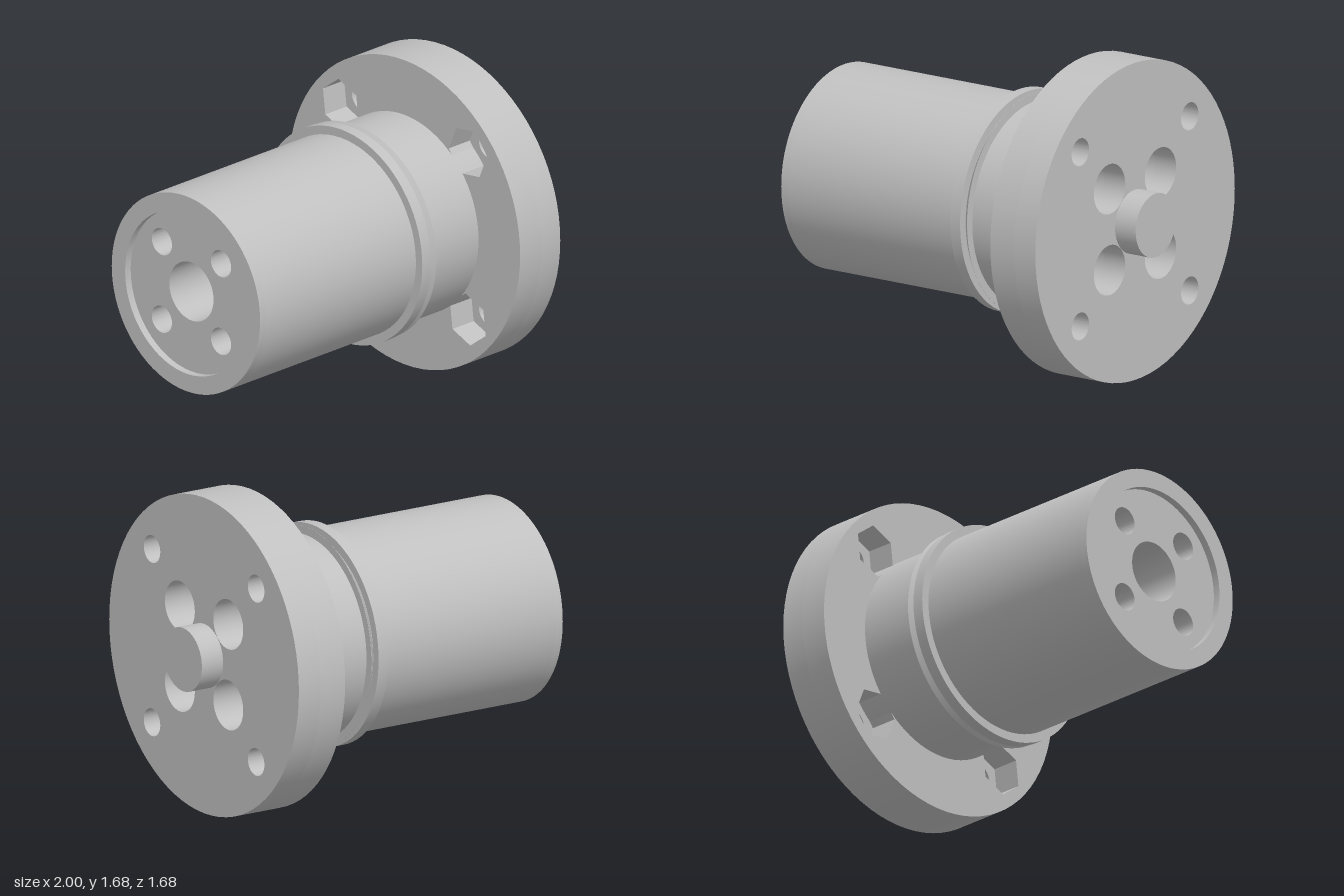
import * as THREE from 'three';
import { toCreasedNormals } from 'three/addons/utils/BufferGeometryUtils.js';

const AXIS_Y = 0.84;
const BODY_R = 0.537;
const FLANGE_R = 0.838;
const BACK = 0.577, POCKET_FLOOR = 0.73, FACE = 0.867; // flange planes along x

// Circle, usable as an outline or a hole
function circle(r, x = 0, y = 0) {
  const s = new THREE.Shape();
  s.absarc(x, y, r, 0, Math.PI * 2, false);
  return s;
}

// Four holes on a diagonal pattern; make(x, y, quarterTurn) returns each outline
function pattern(offset, make) {
  return [0, 1, 2, 3].map((k) => {
    const a = Math.PI / 4 + (k * Math.PI) / 2;
    const d = offset * Math.SQRT2;
    return make(Math.cos(a) * d, Math.sin(a) * d, (k * Math.PI) / 2);
  });
}

// Hexagonal nut pocket outline
function hexagon(r, x, y, turn) {
  const points = [];
  for (let j = 0; j < 6; j++) {
    const a = THREE.MathUtils.degToRad(23 + 60 * j) + turn;
    points.push(new THREE.Vector2(x + r * Math.cos(a), y + r * Math.sin(a)));
  }
  return new THREE.Shape(points);
}

export function createModel() {
  const model = new THREE.Group();
  model.name = 'flangedHousing';
  const grey = new THREE.MeshStandardMaterial({ color: 0xc0c0c0 });
  grey.name = 'light grey metal';

  function add(name, geometry) {
    const mesh = new THREE.Mesh(toCreasedNormals(geometry, 0.5), grey);
    mesh.name = name;
    mesh.position.y = AXIS_Y;
    model.add(mesh);
  }

  // Disc with holes, extruded along x
  function slab(name, radius, x0, x1, holes) {
    const shape = circle(radius);
    shape.holes.push(...holes);
    const g = new THREE.ExtrudeGeometry(shape, { depth: x1 - x0, bevelEnabled: false, curveSegments: 40 });
    g.rotateY(Math.PI / 2);
    g.translate(x0, 0, 0);
    add(name, g);
  }

  // Ring turned from an x / radius profile
  function turned(name, profile) {
    const g = new THREE.LatheGeometry(profile.map(([x, r]) => new THREE.Vector2(r, x)), 80);
    g.rotateZ(-Math.PI / 2);
    add(name, g);
  }

  const bolts = pattern(0.214, (x, y) => circle(0.073, x, y));
  const counterbores = pattern(0.214, (x, y) => circle(0.132, x, y));

  // Barrel with a recessed end, blind centre bore and four long holes
  slab('endRim', BODY_R, -1, -0.96, [circle(0.44)]);
  slab('barrel', BODY_R, -0.96, BACK, [circle(0.16), ...bolts]);

  // Barrel wall continued into the flange, closing the inner side of the pockets
  slab('barrelRoot', BODY_R, BACK, POCKET_FLOOR, [circle(0.49)]);

  // Flange: hexagonal pockets behind, round holes in front
  slab('flangeBack', FLANGE_R, BACK, POCKET_FLOOR, [
    ...counterbores,
    ...pattern(0.46, (x, y, turn) => hexagon(0.14, x, y, turn)),
  ]);
  slab('flangeFront', FLANGE_R, POCKET_FLOOR, FACE, [
    ...counterbores,
    ...pattern(0.46, (x, y) => circle(0.073, x, y)),
  ]);

  // Centre boss
  slab('centreBoss', 0.168, FACE, 1, []);

  // Square collar and flared lip around the barrel
  turned('collar', [[0.125, 0.53], [0.125, 0.583], [0.187, 0.583], [0.187, 0.53]]);
  turned('flaredLip', [[0.187, 0.535], [0.229, 0.58], [0.23, 0.58], [0.23, 0.53]]);

  return model;
}
